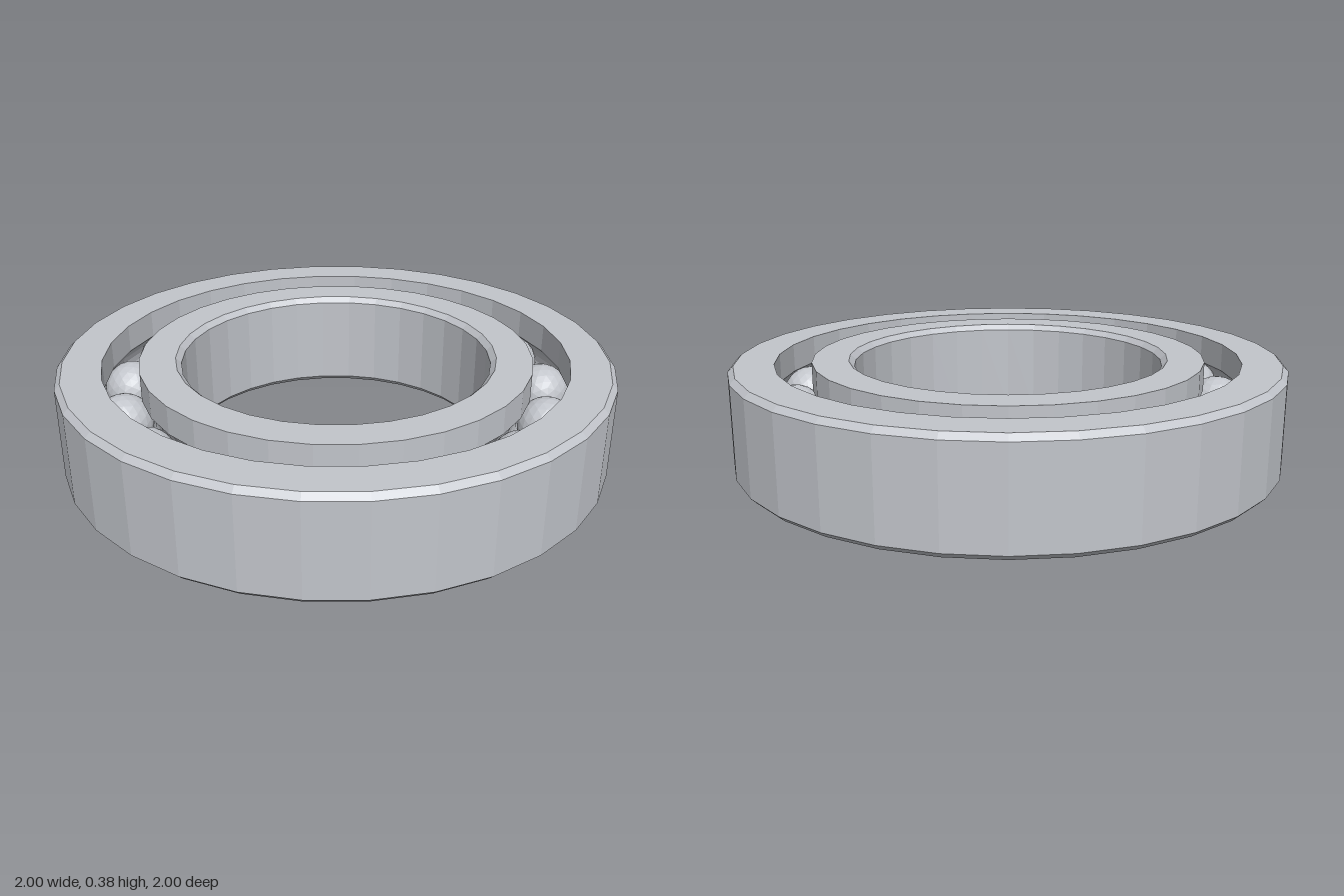
import * as THREE from 'three';

const HEIGHT = 0.375, MID = HEIGHT / 2, CHAMFER = 0.02;
const SEGMENTS = 32, BALLS = 17;
const PITCH = 0.775, BALL_RADIUS = 0.104, GROOVE_RADIUS = 0.107;

// Points of the ball groove, from the wall at radius r; side is +1 for the outer race, -1 for the inner
function groove(r, side) {
  const half = Math.acos(Math.abs(r - PITCH) / GROOVE_RADIUS);
  const points = [];
  for (let i = 0; i <= 8; i++) {
    const a = half * (1 - i / 4) * side;
    points.push([PITCH + side * GROOVE_RADIUS * Math.cos(a), MID + GROOVE_RADIUS * Math.sin(a)]);
  }
  return points;
}

// Closed counterclockwise (radius, height) profile turned into a faceted ring
function ring(name, profile, material) {
  const points = [...profile, profile[0]].map(([r, y]) => new THREE.Vector2(r, y));
  const mesh = new THREE.Mesh(new THREE.LatheGeometry(points, SEGMENTS), material);
  mesh.name = name;
  return mesh;
}

export function createModel() {
  const steel = new THREE.MeshStandardMaterial({ color: 0xc2c5cb, flatShading: true });
  steel.name = 'steel';
  const model = new THREE.Group();
  model.name = 'ballBearing';

  // Outer ring: chamfered outside, grooved inside
  const outerWall = 0.84;
  model.add(ring('outerRing', [
    [outerWall, 0], [1 - CHAMFER, 0], [1, CHAMFER], [1, HEIGHT - CHAMFER],
    [1 - CHAMFER, HEIGHT], [outerWall, HEIGHT], ...groove(outerWall, 1),
  ], steel));

  // Inner ring: chamfered bore, grooved outside
  const innerWall = 0.71, bore = 0.56;
  model.add(ring('innerRing', [
    [bore + CHAMFER, 0], [innerWall, 0], ...groove(innerWall, -1), [innerWall, HEIGHT],
    [bore + CHAMFER, HEIGHT], [bore, HEIGHT - CHAMFER], [bore, CHAMFER],
  ], steel));

  // Balls spaced evenly in the race
  const balls = new THREE.Group();
  balls.name = 'balls';
  const ballGeometry = new THREE.IcosahedronGeometry(BALL_RADIUS, 3);
  for (let i = 0; i < BALLS; i++) {
    const a = (i / BALLS) * Math.PI * 2;
    const ball = new THREE.Mesh(ballGeometry, steel);
    ball.name = 'ball';
    ball.position.set(PITCH * Math.cos(a), MID, PITCH * Math.sin(a));
    ball.rotation.y = -a;
    balls.add(ball);
  }
  model.add(balls);
  return model;
}
